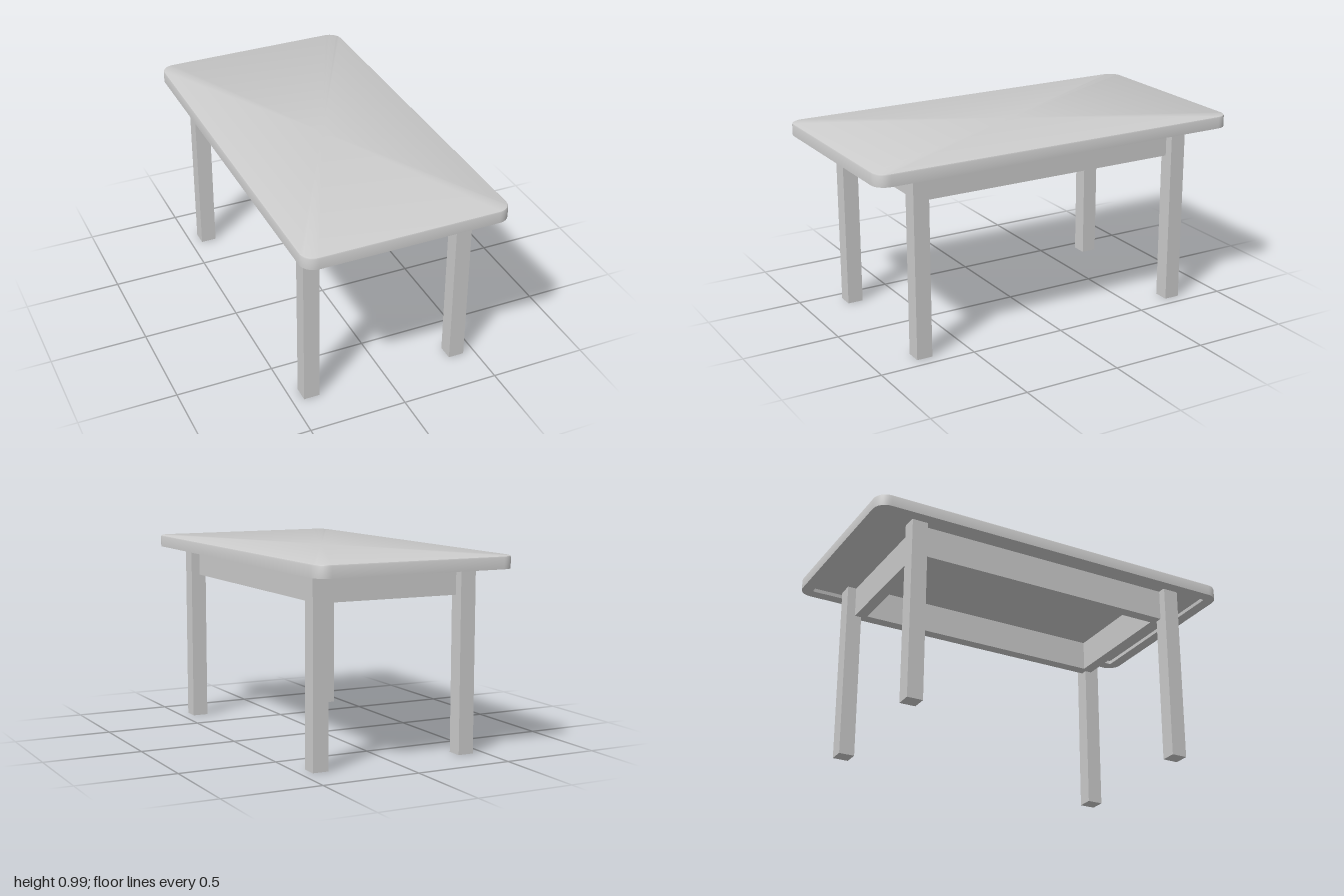
import * as THREE from 'three';
import { toCreasedNormals } from 'three/addons/utils/BufferGeometryUtils.js';

const HALF_X = 0.525, HALF_Z = 1, CORNER = 0.07, STEPS = 8;

// One rounded-rectangle loop, inset from the table edge at a given height
function loop(inset, y) {
  const r = Math.max(CORNER - inset, 0.004);
  const points = [];
  for (let c = 0; c < 4; c++) {
    const sx = c === 0 || c === 3 ? 1 : -1;
    const sz = c < 2 ? 1 : -1;
    for (let i = 0; i <= STEPS; i++) {
      const a = (c + i / STEPS) * Math.PI / 2;
      points.push([
        sx * (HALF_X - inset - r) + r * Math.cos(a),
        y,
        sz * (HALF_Z - inset - r) + r * Math.sin(a),
      ]);
    }
  }
  return points;
}

// Table top: softened upper edge, lip around a shallow recess underneath
function tabletopGeometry() {
  const n = 4 * (STEPS + 1);
  const centre = (y) => Array.from({ length: n }, () => [0, y, 0]);
  const rings = [
    centre(0.993),
    loop(0.008, 0.993), loop(0.0025, 0.9905), loop(0, 0.985),
    loop(0, 0.93), loop(0.06, 0.93), loop(0.06, 0.95),
    centre(0.95),
  ];
  const index = [];
  for (let j = 0; j < rings.length - 1; j++) {
    for (let i = 0; i < n; i++) {
      const a = j * n + i, b = j * n + (i + 1) % n;
      if (j > 0) index.push(a, b, b + n);
      if (j < rings.length - 2) index.push(a, b + n, a + n);
    }
  }
  const geometry = new THREE.BufferGeometry();
  geometry.setAttribute('position', new THREE.Float32BufferAttribute(rings.flat(2), 3));
  geometry.setIndex(index);
  return toCreasedNormals(geometry, Math.PI / 5);
}

export function createModel() {
  const group = new THREE.Group();
  const material = new THREE.MeshStandardMaterial({ color: 0xcccccc });

  function add(name, geometry, x = 0, y = 0, z = 0) {
    const mesh = new THREE.Mesh(geometry, material);
    mesh.name = name;
    mesh.position.set(x, y, z);
    group.add(mesh);
  }

  add('tabletop', tabletopGeometry());

  // Square legs reaching up into the recess
  const legHeight = 0.95;
  for (const x of [-1, 1]) {
    for (const z of [-1, 1]) {
      const name = (z > 0 ? 'front' : 'back') + (x > 0 ? 'Left' : 'Right') + 'Leg';
      add(name, new THREE.BoxGeometry(0.082, legHeight, 0.082), x * 0.4, legHeight / 2, z * 0.74);
    }
  }

  // Apron frame, set back from the outer faces of the legs
  const bottom = 0.787, height = 0.95 - bottom, thick = 0.06;
  const y = bottom + height / 2;
  for (const s of [-1, 1]) {
    add(s > 0 ? 'leftApron' : 'rightApron', new THREE.BoxGeometry(thick, height, 1.47), s * 0.365, y, 0);
    add(s > 0 ? 'frontApron' : 'backApron', new THREE.BoxGeometry(0.67, height, thick), 0, y, s * 0.705);
  }
  return group;
}
